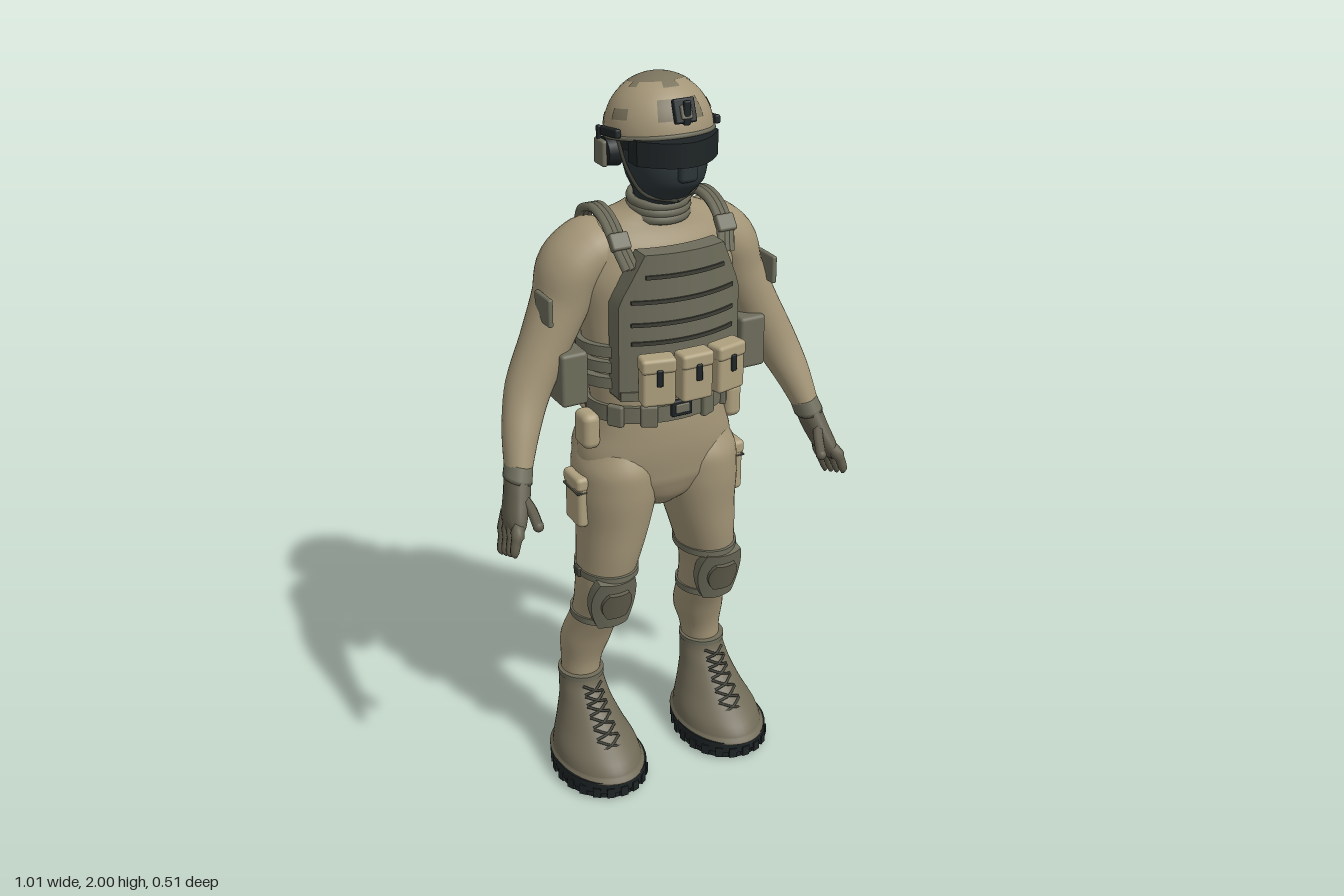
import * as THREE from 'three';
import { RoundedBoxGeometry } from 'three/addons/geometries/RoundedBoxGeometry.js';

const mat = (name, color, side = THREE.FrontSide) => {
  const m = new THREE.MeshStandardMaterial({ color, side });
  m.name = name;
  return m;
};
const V = (x, y, z) => new THREE.Vector3(x, y, z);

// Smooth solid through elliptical sections [x, y, z, radiusX, radiusZ], listed from top to bottom.
// With tilt, each ring turns to face along the path.
function loft(rows, { tilt = false, seg = 32, steps = 5 } = {}) {
  const path = new THREE.CatmullRomCurve3(rows.map(r => V(r[0], r[1], r[2])));
  const size = new THREE.CatmullRomCurve3(rows.map(r => V(r[3], r[4], 0)));
  const n = (rows.length - 1) * steps, pos = [], idx = [];
  for (let i = 0; i <= n; i++) {
    const c = path.getPoint(i / n), r = size.getPoint(i / n);
    const t = tilt ? path.getTangent(i / n).setZ(0).normalize() : V(0, -1, 0);
    for (let j = 0; j < seg; j++) {
      const a = j / seg * Math.PI * 2, u = r.x * Math.cos(a);
      pos.push(c.x - t.y * u, c.y + t.x * u, c.z + r.y * Math.sin(a));
    }
  }
  for (let j = 0; j < seg; j++) {
    const k = (j + 1) % seg, e = n * seg;
    for (let i = 0; i < n; i++) {
      const a = i * seg + j, b = i * seg + k;
      idx.push(a, b, a + seg, b, b + seg, a + seg);
    }
    idx.push((n + 1) * seg, k, j, (n + 1) * seg + 1, e + j, e + k);
  }
  const first = rows[0], last = rows[rows.length - 1];
  pos.push(first[0], first[1], first[2], last[0], last[1], last[2]);
  const g = new THREE.BufferGeometry();
  g.setAttribute('position', new THREE.Float32BufferAttribute(pos, 3));
  g.setIndex(idx);
  g.computeVertexNormals();
  return g;
}

// Box curved back at its sides; width(v) scales it from bottom (0) to top (1)
function panel(w, h, d, bend, width = () => 1) {
  const g = new THREE.BoxGeometry(w, h, d, 16, 14, 1), p = g.attributes.position;
  for (let i = 0; i < p.count; i++) {
    const x = p.getX(i) * width(p.getY(i) / h + 0.5);
    p.setX(i, x);
    p.setZ(i, p.getZ(i) - bend * x * x);
  }
  g.computeVertexNormals();
  return g;
}

const band = (h, rx, rz) => new THREE.CylinderGeometry(1, 1, h, 40).scale(rx, 1, rz);
const rbox = (w, h, d, r = 0.01) => new RoundedBoxGeometry(w, h, d, 3, r);
const box = (w, h, d) => new THREE.BoxGeometry(w, h, d);
const tube = (pts, r, n = 16) => new THREE.TubeGeometry(new THREE.CatmullRomCurve3(pts), n, r, 6);

export function createModel() {
  const M = {
    tan: mat('uniform tan', 0xa39577),
    pouch: mat('pouch tan', 0xaea07e),
    shell: mat('helmet tan', 0xa39577, THREE.DoubleSide),
    olive: mat('vest olive', 0x6e6d5c),
    patch: mat('helmet patch', 0x7b745e, THREE.DoubleSide),
    boot: mat('boot grey', 0x6f6956),
    glove: mat('glove brown', 0x625e4e),
    seam: mat('dark seam', 0x3f3f37),
    mask: mat('mask charcoal', 0x2c3538),
    black: mat('black', 0x1e2426),
  };
  const root = new THREE.Group();
  root.name = 'armouredFigure';
  const add = (name, geo, m, x = 0, y = 0, z = 0, rx = 0, ry = 0, rz = 0, parent = root) => {
    const o = new THREE.Mesh(geo, m);
    o.name = name;
    o.position.set(x, y, z);
    o.rotation.set(rx, ry, rz);
    parent.add(o);
    return o;
  };

  // Torso and pelvis
  add('torso', loft([
    [0, 1.69, .015, .065, .06], [0, 1.665, .005, .1, .075], [0, 1.635, -.01, .165, .095],
    [0, 1.58, -.012, .222, .122], [0, 1.5, -.005, .228, .135], [0, 1.4, .002, .212, .132],
    [0, 1.25, .01, .197, .126], [0, 1.15, .012, .186, .126], [0, 1.08, .008, .198, .135],
    [0, 1.0, .002, .222, .138], [0, .93, .002, .215, .128], [0, .87, .005, .13, .1], [0, .83, .005, .05, .06],
  ], { seg: 48 }), M.tan);

  // Head, neck and face covering
  add('head', loft([
    [0, 1.94, .02, .07, .08], [0, 1.87, .037, .103, .11], [0, 1.81, .052, .106, .12],
    [0, 1.755, .058, .095, .112], [0, 1.715, .045, .073, .085], [0, 1.68, .025, .064, .068], [0, 1.62, .015, .07, .065],
  ]), M.mask);
  for (let i = 0; i < 3; i++)
    add('collarFold', new THREE.TorusGeometry(1, .13, 8, 36).rotateX(Math.PI / 2).scale(.075, .1, .068),
      M.olive, 0, 1.655 + i * .018, .025, .15);
  add('goggles', panel(.225, .062, .045, 5.5), M.black, 0, 1.838, .172);
  add('goggleNoseGuard', rbox(.05, .05, .03, .012), M.mask, 0, 1.79, .172);
  add('goggleStrap', band(.028, .112, .118), M.black, 0, 1.845, .04);

  // Helmet with cut-out camouflage patches
  const helmet = new THREE.Group();
  helmet.name = 'helmet';
  helmet.position.set(0, 1.865, .025);
  helmet.rotation.x = -.14;
  root.add(helmet);
  const dome = (s, p0, pl, t0, tl) =>
    new THREE.SphereGeometry(1, Math.max(4, Math.ceil(pl * 7)), 14, p0, pl, t0, tl).scale(.137 * s, .136 * s, .135 * s);
  add('helmetShell', dome(1, 0, Math.PI * 2, 0, 1.62), M.shell, 0, 0, 0, 0, 0, 0, helmet);
  add('helmetCrownPatch', dome(1.01, 0, Math.PI * 2, 0, .53), M.patch, 0, 0, 0, 0, 0, 0, helmet);
  for (const [p, l, t, h] of [[.2, .3, .5, .16], [1.3, .5, .5, .2], [2.6, .35, .5, .15], [3.7, .3, .5, .18],
    [4.5, .5, .5, .14], [5.5, .35, .5, .2], [1.1, .95, .95, .4], [.1, .4, 1.1, .2], [2.7, .4, 1.1, .2],
    [3.6, .45, 1.2, .22], [4.5, .7, 1.05, .25], [5.6, .4, 1.25, .2]])
    add('helmetPatch', dome(1.01, p, l, t, h), M.patch, 0, 0, 0, 0, 0, 0, helmet);
  add('helmetRim', new THREE.TorusGeometry(1, .035, 8, 48).rotateX(Math.PI / 2).scale(.137, .16, .135),
    M.olive, 0, -.007, 0, 0, 0, 0, helmet);
  add('helmetMount', rbox(.058, .06, .016, .005), M.black, 0, 1.937, .154, -.35);
  add('helmetMountPlate', rbox(.03, .035, .01, .004), M.olive, 0, 1.937, .165, -.35);
  add('helmetMountPost', rbox(.018, .06, .012, .004), M.black, 0, 1.935, .168);

  // Plate carrier, front and back
  const taper = v => v < .66 ? 1 : 1 - (v - .66) * 1.05;
  for (const f of [1, -1]) {
    const ry = f > 0 ? 0 : Math.PI, z = f > 0 ? .155 : -.145;
    const side = f > 0 ? 'front' : 'back';
    add(side + 'Plate', panel(.345, .385, .055, 1.5, taper), M.olive, 0, 1.4, z, 0, ry);
    for (const y of [1.535, 1.47, 1.41, 1.36])
      add(side + 'Webbing', panel(y > 1.5 ? .22 : .29, .01, .008, 1.5), M.seam, 0, y, z + f * .029, 0, ry);
    add(side + 'PlateHem', panel(.34, .025, .064, 1.5), M.olive, 0, 1.215, z, 0, ry);
  }
  for (let i = 0; i < 3; i++) {
    add('sideBand', band(.03, .222, .142), M.olive, 0, 1.235 + i * .043, .008);
  }
  for (const x of [-.1, 0, .1]) {
    const g = new THREE.Group();
    g.name = 'frontPouch';
    g.position.set(x, 1.272, .216 - Math.abs(x) * .11);
    g.rotation.y = x * 2.2;
    root.add(g);
    add('pouchBody', rbox(.088, .125, .05), M.pouch, 0, 0, 0, 0, 0, 0, g);
    add('pouchFlap', rbox(.092, .04, .056), M.pouch, 0, .048, .001, 0, 0, 0, g);
    add('pouchBuckle', rbox(.016, .045, .008, .003), M.black, 0, .018, .03, 0, 0, 0, g);
  }

  // Back pack
  add('backPack', rbox(.27, .3, .085, .038), M.pouch, 0, 1.36, -.215);
  for (const y of [1.44, 1.37, 1.3])
    add('backPackSeam', rbox(.2, .009, .008, .003), M.seam, 0, y, -.256);

  // Belt
  add('belt', band(.045, .197, .14), M.olive, 0, 1.142, .011);
  add('beltBuckle', rbox(.06, .045, .016, .005), M.black, 0, 1.155, .152);
  add('beltBucklePlate', rbox(.04, .026, .012, .004), M.olive, 0, 1.155, .157);
  for (const a of [.45, .95, 2.2, 2.7])
    for (const s of [1, -1])
      add('beltLoop', rbox(.045, .06, .018, .006), M.olive,
        s * Math.sin(a) * .197, 1.14, .011 + Math.cos(a) * .14, 0, s * a);

  for (const s of [1, -1]) {
    const mir = rows => rows.map(([x, ...r]) => [x * s, ...r]);
    const sv = (x, y, z) => V(x * s, y, z);

    // Arms and arm patches
    add('arm', loft(mir([
      [.1, 1.575, -.025, .05, .07], [.165, 1.56, -.03, .084, .102], [.222, 1.52, -.03, .083, .1],
      [.254, 1.44, -.025, .074, .086], [.31, 1.33, -.012, .066, .07], [.367, 1.22, .003, .06, .063],
      [.405, 1.13, .038, .049, .054], [.435, 1.03, .08, .033, .042],
    ]), { tilt: true }), M.tan);
    add('armPatch', rbox(.014, .075, .085, .005), M.olive, s * .324, 1.445, .027);

    // Gloves
    add('gloveCuff', loft(mir([[.426, 1.06, .07, .036, .044], [.438, 1.02, .085, .038, .046]]),
      { tilt: true, seg: 20 }), M.olive);
    add('glovePalm', loft(mir([
      [.433, 1.045, .077, .034, .042], [.448, .985, .1, .032, .05],
      [.468, .93, .122, .027, .056], [.478, .9, .13, .015, .045],
    ]), { tilt: true, seg: 20 }), M.glove);
    for (let i = 0; i < 4; i++) {
      const z = .17 - i * .029, y = .883 - i * .011;
      add('gloveFinger', loft(mir([
        [.47, .935, z - .006, .014, .014], [.486, y + .018, z + .008, .014, .014],
        [.495, y - .014, z + .014, .012, .012], [.494, y - .027, z + .015, .004, .004],
      ]), { tilt: true, seg: 10, steps: 3 }), M.glove);
    }
    add('gloveThumb', tube([sv(.45, 1.0, .115), sv(.432, .965, .15), sv(.425, .925, .178)], .015), M.glove);
    add('gloveThumbTip', new THREE.SphereGeometry(.015, 10, 8), M.glove, s * .425, .925, .178);

    // Legs
    add('leg', loft(mir([
      [.12, 1.03, -.005, .085, .11], [.121, .96, 0, .112, .136], [.124, .89, .006, .112, .13],
      [.131, .8, .01, .1, .116], [.147, .7, .012, .086, .102], [.163, .6, .006, .074, .085],
      [.168, .5, -.024, .068, .076], [.181, .4, -.066, .072, .074], [.193, .32, -.078, .058, .062],
      [.2, .24, -.075, .052, .055],
    ])), M.tan);
    add('seat', new THREE.SphereGeometry(1, 28, 20).scale(.105, .115, .085), M.tan, s * .105, .985, -.062);
    add('thighPocket', rbox(.035, .15, .088, .014), M.pouch, s * .235, .88, .008);
    add('thighPocketFlap', rbox(.04, .04, .094, .012), M.pouch, s * .236, .935, .008);
    add('thighPocketSeam', rbox(.037, .006, .09, .002), M.seam, s * .2375, .911, .008);

    // Knee pads
    add('kneePad', panel(.135, .16, .026, 5, v => 1 - 1.1 * (v - .55) ** 2), M.olive, s * .166, .572, .088, .25);
    add('kneeCap', panel(.09, .085, .026, 6, v => 1 - 1.4 * (v - .5) ** 2), M.glove, s * .166, .575, .1, .25);
    add('kneeStrap', band(.018, .085, .104), M.olive, s * .154, .655, .012);
    add('shinStrap', band(.018, .073, .083), M.olive, s * .168, .495, -.024);
    add('kneeStrapClip', rbox(.012, .028, .03, .004), M.seam, s * .24, .655, .01);

    // Boots
    const boot = new THREE.Group();
    boot.name = 'boot';
    boot.position.x = s * .198;
    root.add(boot);
    const b = (n, g, m, ...p) => add(n, g, m, ...p, ...Array(6 - p.length).fill(0), boot);
    b('bootUpper', loft([
      [0, .285, -.075, .06, .066], [0, .25, -.07, .063, .07], [0, .2, -.048, .071, .088], [0, .14, -.017, .091, .118],
      [0, .09, .015, .112, .152], [0, .06, .024, .118, .165], [0, .04, .024, .118, .165],
    ], { seg: 40 }), M.boot);
    const sole = (h, k) => {
      const g = band(h, .125 * k, .172 * k), p = g.attributes.position;
      for (let i = 0; i < p.count; i++) p.setX(i, p.getX(i) * (1 + .5 * p.getZ(i)));
      return g;
    };
    b('bootSole', sole(.034, 1), M.black, 0, .038, .026);
    b('bootTread', sole(.022, .95), M.black, 0, .011, .026);
    for (let i = 0; i < 22; i++) {
      const a = i / 22 * Math.PI * 2, z = Math.cos(a) * .167;
      b('treadLug', box(.022, .03, .016), M.black, Math.sin(a) * .121 * (1 + .5 * z), .022, .026 + z, 0, a);
    }
    b('bootCollar', band(.014, .064, .07), M.olive, 0, .277, -.073);
    b('bootPullTab', rbox(.022, .055, .014, .005), M.olive, 0, .275, -.146);
    const front = y => y > .2 ? .043 - (y - .2) * .6 : .043 + (.2 - y) * .96;
    for (let i = 0; i < 6; i++) {
      const y = .115 + i * .025, w = .034 - i * .001;
      for (const d of [1, -1])
        b('bootLace', tube([V(-w * d, y, front(y) - .006), V(0, y + .011, front(y + .011) + .006),
          V(w * d, y + .022, front(y + .022) - .006)], .004, 6), M.seam);
    }

    // Headset and chin strap
    add('earCup', new THREE.CylinderGeometry(.036, .04, .035, 20).rotateZ(-s * Math.PI / 2), M.black, s * .125, 1.818, .005);
    add('earCupCover', rbox(.016, .066, .052, .006), M.olive, s * .146, 1.815, -.002);
    add('helmetRail', rbox(.016, .022, .1, .005), M.black, s * .138, 1.872, .03, -.14);
    add('headsetBracket', rbox(.012, .06, .014, .004), M.black, s * .146, 1.85, -.012);
    add('chinStrap', tube([sv(.128, 1.865, .05), sv(.108, 1.78, .07), sv(.072, 1.72, .09), sv(0, 1.703, .125)], .005), M.seam);

    // Shoulder straps
    const strap = [sv(.135, 1.55, .135), sv(.15, 1.61, .098), sv(.152, 1.655, .045), sv(.15, 1.668, -.025),
      sv(.147, 1.64, -.095), sv(.135, 1.56, -.145)];
    for (const o of [-.013, 0, .013])
      add('shoulderStrap', tube(strap.map(p => V(p.x + o, p.y, p.z)), .012, 24), M.olive);
    add('strapBuckle', rbox(.052, .045, .024, .006), M.olive, s * .15, 1.615, .102, -.65);

    // Side, rear and hip pouches
    add('sidePouch', rbox(.075, .145, .085), M.olive, s * .262, 1.253, .03);
    add('rearPouch', rbox(.08, .16, .052), M.olive, s * .195, 1.295, -.205);
    add('rearPouchLid', rbox(.083, .035, .055), M.olive, s * .195, 1.36, -.205);
    add('hipPouch', rbox(.05, .1, .075, .02), M.pouch, s * .212, 1.09, .03);
    add('rearHipPouch', rbox(.06, .075, .045, .014), M.pouch, s * .135, 1.115, -.11, 0, s * 2.5);
  }
  return root;
}
